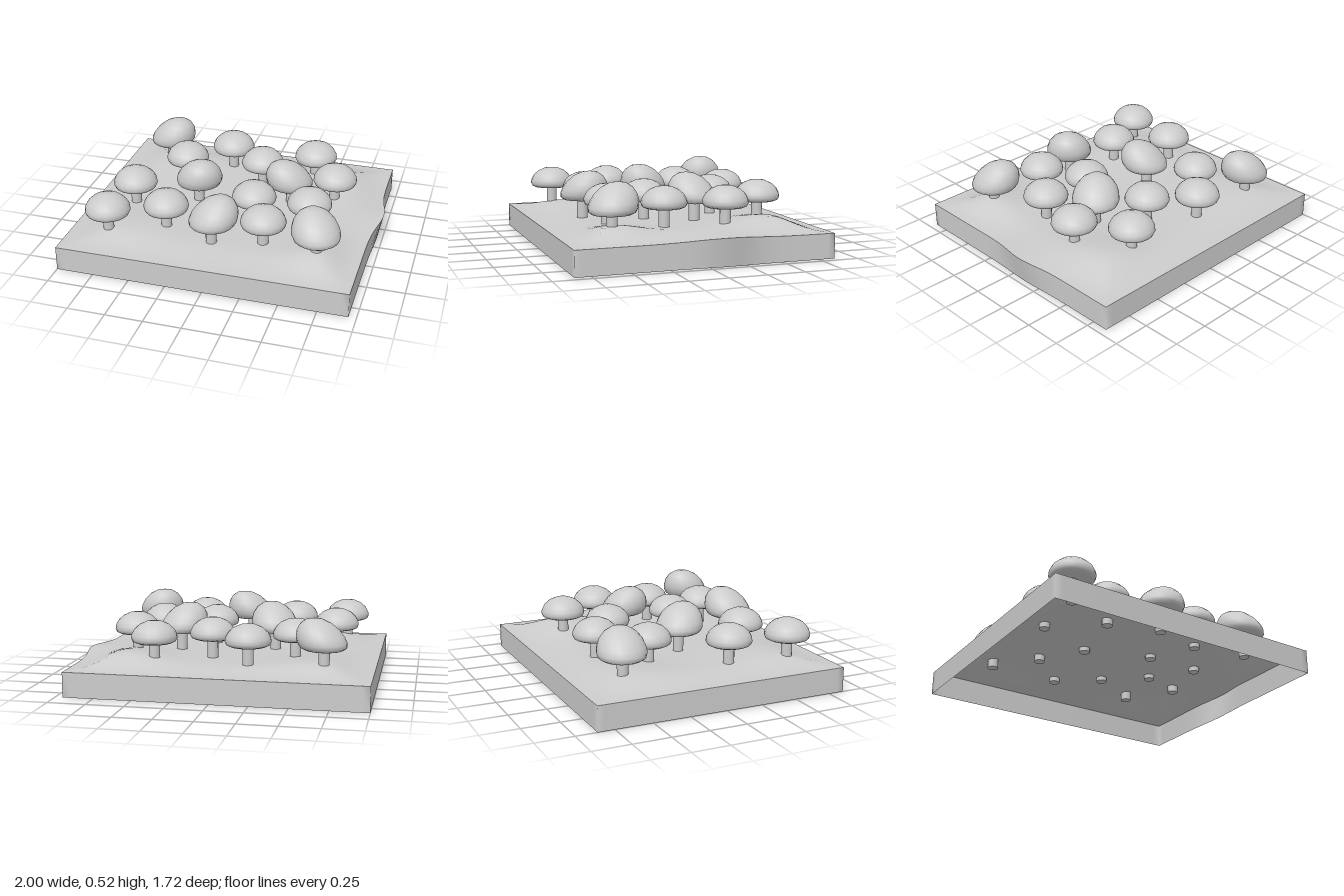
import * as THREE from 'three';
import { mergeVertices } from 'three/addons/utils/BufferGeometryUtils.js';

const X0 = -1, X1 = 0.95, Z0 = -0.86, Z1 = 0.855;
const CAP_Y = 0.32;

// x, z of the plain mushrooms
const ROUND = [
  [-0.195, -0.55], [0.425, -0.55], [-0.465, -0.29], [0.08, -0.35],
  [0.63, -0.235], [-0.69, 0.175], [0.155, 0.16], [0.535, 0.15],
  [-0.375, 0.435], [0.30, 0.465], [-0.73, 0.585],
];
// x, z, turn of the tall lopsided mushrooms
const LOPSIDED = [
  [-0.685, -0.565, -Math.PI / 4], [-0.285, 0.01, -Math.PI / 2],
  [0.345, -0.13, Math.PI], [-0.03, 0.54, 0], [0.67, 0.54, Math.PI / 2],
];

const bump = (x, z, cx, cz, r) => Math.exp(-((x - cx) ** 2 + (z - cz) ** 2) / (r * r));

// Ground height: low rim, gentle mounds inside
function groundHeight(x, z) {
  const d = Math.min(x - X0, X1 - x, z - Z0, Z1 - z);
  const rise = THREE.MathUtils.smoothstep(d, 0, 0.3);
  return 0.165 + rise * (0.028
    + 0.06 * bump(x, z, 0.72, 0.54, 0.25)
    + 0.055 * bump(x, z, 0.62, -0.52, 0.28)
    + 0.035 * bump(x, z, -0.62, -0.5, 0.3)
    + 0.03 * bump(x, z, -0.62, 0.5, 0.28))
    + 0.022 * bump(x, z, X1, -0.12, 0.25);
}

// Outward swell in the middle of the +x edge
const swell = (x, z) =>
  0.05 * Math.exp(-(((z + 0.12) / 0.2) ** 2)) * THREE.MathUtils.smoothstep(x, 0.7, X1);

const groundPoint = (x, z) => [x + swell(x, z), groundHeight(x, z), z];

function groundTop() {
  const geo = new THREE.PlaneGeometry(X1 - X0, Z1 - Z0, 40, 36).rotateX(-Math.PI / 2);
  geo.translate((X0 + X1) / 2, 0, (Z0 + Z1) / 2);
  const p = geo.attributes.position;
  for (let i = 0; i < p.count; i++) p.setXYZ(i, ...groundPoint(p.getX(i), p.getZ(i)));
  geo.computeVertexNormals();
  return geo;
}

// Side walls follow the rim down to y = 0; the underside stays open
function groundSides() {
  const corners = [[X0, Z1], [X1, Z1], [X1, Z0], [X0, Z0]];
  const n = 36, total = n * 4, pos = [], index = [];
  corners.forEach(([ax, az], c) => {
    const [bx, bz] = corners[(c + 1) % 4];
    for (let i = 0; i < n; i++) {
      const x = ax + (bx - ax) * i / n, z = az + (bz - az) * i / n;
      pos.push(...groundPoint(x, z), x + swell(x, z) * 0.25, 0, z);
    }
  });
  for (let i = 0; i < total; i++) {
    const a = 2 * i, b = 2 * ((i + 1) % total);
    index.push(a, a + 1, b + 1, a, b + 1, b);
  }
  const geo = new THREE.BufferGeometry();
  geo.setAttribute('position', new THREE.Float32BufferAttribute(pos, 3));
  geo.setIndex(index);
  geo.computeVertexNormals();
  return geo;
}

// Domed cap with a flat underside, its base at y = 0
function capGeometry() {
  const profile = [[0, 0], [0.12, 0], [0.142, 0.01], [0.151, 0.03], [0.147, 0.055],
    [0.13, 0.087], [0.097, 0.117], [0.052, 0.137], [0, 0.143]];
  return new THREE.LatheGeometry(profile.map(([r, y]) => new THREE.Vector2(r, y)), 20);
}

// Taller cap leaning over one side
function lopsidedCapGeometry() {
  const geo = capGeometry();
  geo.deleteAttribute('uv');
  geo.deleteAttribute('normal');
  const p = geo.attributes.position;
  for (let i = 0; i < p.count; i++) {
    const t = p.getY(i) / 0.143;
    p.setXYZ(i, p.getX(i) * 1.05 + 0.055 * t, 0.196 * t, p.getZ(i) * 1.05 - 0.04 * t);
  }
  const merged = mergeVertices(geo, 1e-5);
  merged.computeVertexNormals();
  return merged;
}

export function createModel() {
  const model = new THREE.Group();
  const grey = new THREE.MeshStandardMaterial({ color: 0xcccccc });
  const thin = new THREE.MeshStandardMaterial({ color: 0xcccccc, side: THREE.DoubleSide });
  const add = (parent, name, geo, mat = grey) => {
    const mesh = new THREE.Mesh(geo, mat);
    mesh.name = name;
    parent.add(mesh);
    return mesh;
  };

  const ground = new THREE.Group();
  ground.name = 'ground';
  add(ground, 'groundTop', groundTop(), thin);
  add(ground, 'groundSides', groundSides(), thin);
  model.add(ground);

  // Stems run from just below the ground into the caps
  const stemBottom = 0.165, stemTop = 0.34;
  const stemGeo = new THREE.CylinderGeometry(0.036, 0.036, stemTop - stemBottom, 14);
  const roundCap = capGeometry(), lopsidedCap = lopsidedCapGeometry();

  const addMushroom = (x, z, turn, capGeo, name) => {
    const mushroom = new THREE.Group();
    mushroom.name = name;
    mushroom.position.set(x, 0, z);
    mushroom.rotation.y = turn;
    add(mushroom, 'stem', stemGeo).position.y = (stemBottom + stemTop) / 2;
    add(mushroom, 'cap', capGeo).position.y = CAP_Y;
    model.add(mushroom);
  };
  ROUND.forEach(([x, z]) => addMushroom(x, z, 0, roundCap, 'roundMushroom'));
  LOPSIDED.forEach(([x, z, turn]) => addMushroom(x, z, turn, lopsidedCap, 'lopsidedMushroom'));

  return model;
}
